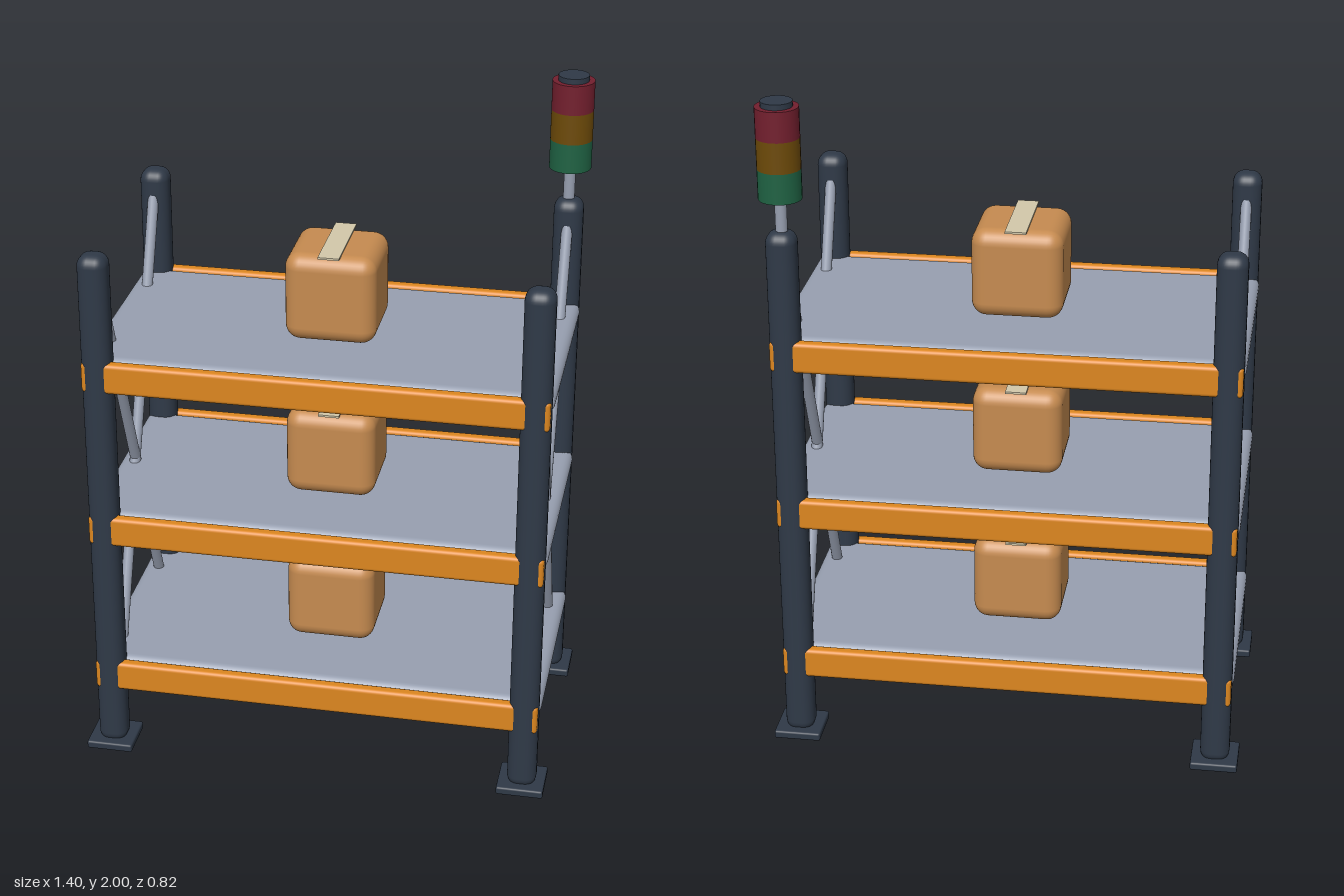
import * as THREE from 'three';
import { RoundedBoxGeometry } from 'three/addons/geometries/RoundedBoxGeometry.js';

const paint = (name, color) => {
  const m = new THREE.MeshStandardMaterial({ color });
  m.name = name;
  return m;
};

export function createModel() {
  const steel = paint('dark steel', 0x2f3947);
  const orange = paint('beam orange', 0xdc861f);
  const grey = paint('shelf grey', 0x979fb0);
  const card = paint('cardboard', 0xc68b50);
  const tapeMat = paint('packing tape', 0xd2c8aa);
  const red = paint('lamp red', 0x731f2e);
  const amber = paint('lamp amber', 0x6d4a08);
  const green = paint('lamp green', 0x1f6243);

  const rack = new THREE.Group();
  rack.name = 'storageRack';
  rack.position.z = -0.019;

  const add = (name, geo, mat, x, y, z) => {
    const mesh = new THREE.Mesh(geo, mat);
    mesh.name = name;
    mesh.position.set(x, y, z);
    rack.add(mesh);
    return mesh;
  };

  const PX = 0.63, PZ = 0.341;

  // Posts with rounded tops, standing on foot plates
  const postGeo = new RoundedBoxGeometry(0.087, 1.61, 0.087, 4, 0.034);
  const footGeo = new RoundedBoxGeometry(0.14, 0.025, 0.14, 2, 0.006);
  for (const sx of [-1, 1]) {
    for (const sz of [-1, 1]) {
      add('post', postGeo, steel, sx * PX, 0.818, sz * PZ);
      add('footPlate', footGeo, steel, sx * PX, 0.0165, sz * PZ);
    }
  }

  // Shelf levels: deck, front and back beams, one taped carton each
  const deckGeo = new RoundedBoxGeometry(1.356, 0.056, 0.68, 3, 0.027);
  const beamGeo = new RoundedBoxGeometry(1.344, 0.093, 0.037, 3, 0.012);
  const cartonGeo = new RoundedBoxGeometry(0.267, 0.267, 0.267, 4, 0.045);
  const tapeGeo = new THREE.BoxGeometry(0.062, 0.006, 0.27);
  for (const top of [0.3, 0.798, 1.296]) {
    add('shelfDeck', deckGeo, grey, 0, top - 0.029, 0);
    for (const sz of [-1, 1]) add('beam', beamGeo, orange, 0, top - 0.0465, sz * 0.3605);
    add('carton', cartonGeo, card, 0, top + 0.1385, 0);
    add('cartonTape', tapeGeo, tapeMat, 0, top + 0.274, 0);
  }

  // Crossed tubes between the posts on both ends
  const halfZ = 0.31, halfY = 0.732;
  const braceGeo = new THREE.CylinderGeometry(0.0165, 0.0165, 2 * Math.hypot(halfZ, halfY), 14);
  for (const sx of [-1, 1]) {
    for (const s of [-1, 1]) {
      add('crossBrace', braceGeo, grey, sx * PX, 0.81, 0).rotation.x = s * Math.atan2(halfZ, halfY);
    }
  }

  // Signal tower on the back left post
  const drum = (name, r, y0, y1, mat) =>
    add(name, new THREE.CylinderGeometry(r, r, y1 - y0, 28), mat, PX - 0.002, (y0 + y1) / 2, -PZ);
  drum('signalPole', 0.017, 1.58, 1.73, grey);
  drum('greenLamp', 0.062, 1.718, 1.806, green);
  drum('amberLamp', 0.062, 1.806, 1.896, amber);
  drum('redLamp', 0.062, 1.896, 1.984, red);
  drum('signalCap', 0.045, 1.98, 2.0, steel);

  const model = new THREE.Group();
  model.name = 'model';
  model.add(rack);
  return model;
}
